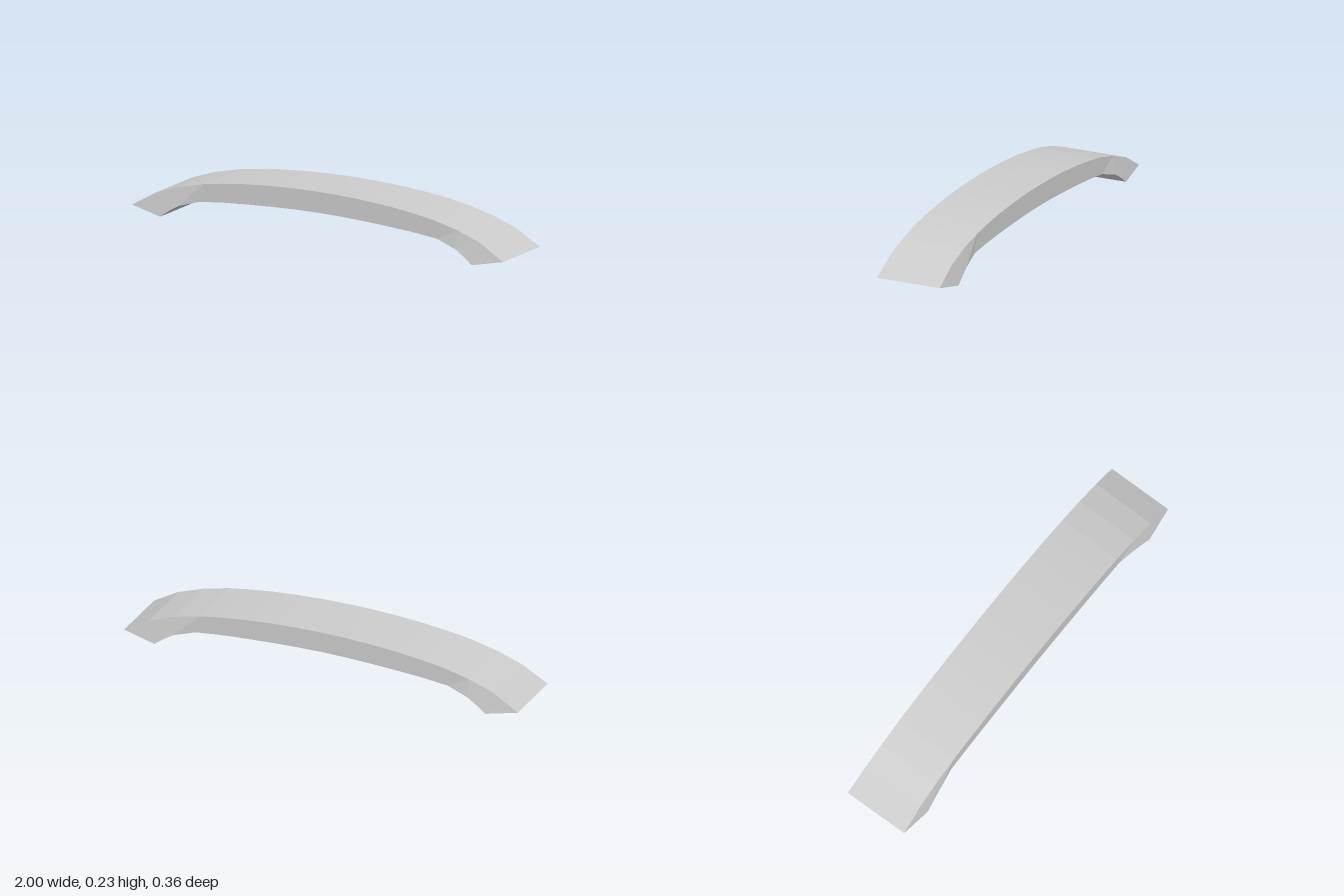
import * as THREE from 'three';

// Half of the bow, from the middle to the tip.
// Each station: [topX, topY, topHalfDepth, bottomX, bottomY, bottomHalfDepth]
const STATIONS = [
  [0, 0.23, 0.158, 0, 0.13, 0.158],
  [0.13, 0.228, 0.158, 0.13, 0.128, 0.158],
  [0.26, 0.222, 0.158, 0.26, 0.123, 0.158],
  [0.39, 0.212, 0.158, 0.39, 0.116, 0.158],
  [0.51, 0.198, 0.158, 0.52, 0.107, 0.158],
  [0.62, 0.181, 0.158, 0.64, 0.094, 0.158],
  [0.75, 0.15, 0.158, 0.745, 0.063, 0.171],
  [0.875, 0.106, 0.159, 0.795, 0.033, 0.175],
  [1, 0.033, 0.163, 0.84, 0, 0.178],
];

// Four corners of a cross-section: top front, top back, bottom back, bottom front
function ring([tx, ty, tz, bx, by, bz], side) {
  return [
    [side * tx, ty, tz],
    [side * tx, ty, -tz],
    [side * bx, by, -bz],
    [side * bx, by, bz],
  ];
}

// Skin the cross-sections, leaving both ends open
function skin(rings) {
  const positions = [];
  for (let i = 0; i < rings.length - 1; i++) {
    for (let k = 0; k < 4; k++) {
      const n = (k + 1) % 4;
      const a = rings[i][k], b = rings[i + 1][k];
      const c = rings[i + 1][n], d = rings[i][n];
      positions.push(...a, ...b, ...c, ...a, ...c, ...d);
    }
  }
  const geometry = new THREE.BufferGeometry();
  geometry.setAttribute('position', new THREE.Float32BufferAttribute(positions, 3));
  geometry.computeVertexNormals();
  return geometry;
}

export function createModel() {
  const group = new THREE.Group();
  group.name = 'archedHandle';

  // Mirror the stations so the sections run from the right tip to the left tip
  const rings = [
    ...STATIONS.slice(1).reverse().map((s) => ring(s, -1)),
    ...STATIONS.map((s) => ring(s, 1)),
  ];

  // Hollow arched bar with flared, open feet
  const bar = new THREE.Mesh(
    skin(rings),
    new THREE.MeshStandardMaterial({ color: 0xcccccc, flatShading: true, side: THREE.DoubleSide })
  );
  bar.name = 'archedBar';
  group.add(bar);
  return group;
}
